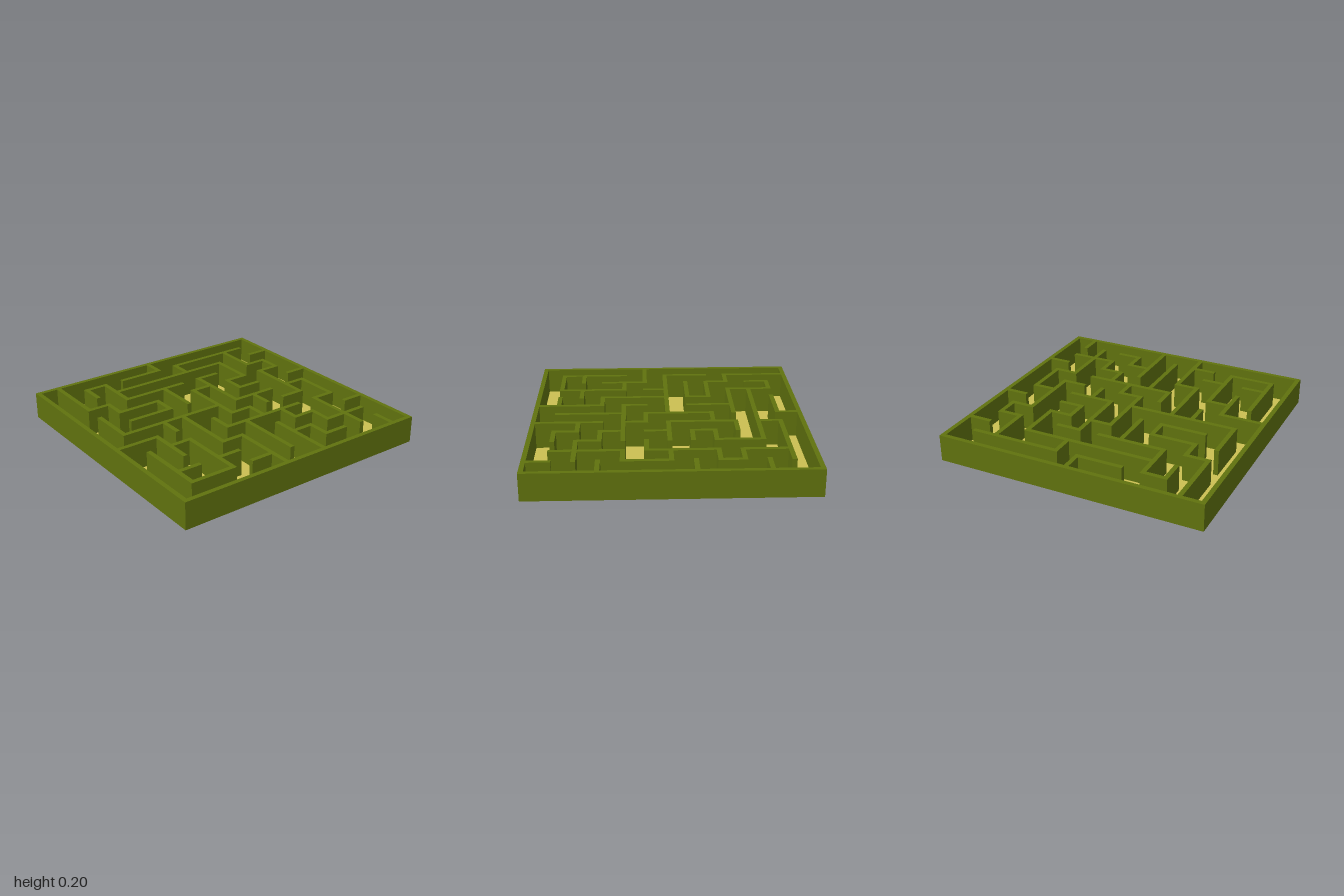
import * as THREE from 'three';

const CELLS = 12, HEIGHT = 0.2, THICK = 0.034;
const PITCH = (2 - THICK) / CELLS;
const at = (i) => (i - CELLS / 2) * PITCH; // grid line to position

// Walls running along x: for each grid row, [from, to] columns
const ROWS = [
  [[0, 12]],
  [[3, 4], [6, 8], [11, 12]],
  [[1, 3], [4, 7], [8, 11]],
  [[2, 4], [9, 10]],
  [[4, 5], [6, 7], [8, 9], [10, 11]],
  [[1, 2], [3, 6], [7, 8], [9, 12]],
  [[0, 1], [4, 7], [8, 11]],
  [[3, 5], [7, 8], [9, 12]],
  [[4, 5], [6, 9]],
  [[1, 3], [6, 7], [8, 11]],
  [[1, 2], [3, 4], [7, 9]],
  [[0, 3], [4, 6], [8, 11]],
  [[0, 12]],
];

// Walls running along z: for each grid column, [from, to] rows
const COLUMNS = [
  [[0, 12]],
  [[1, 5], [6, 8], [9, 10]],
  [[0, 1], [3, 9]],
  [[1, 2], [4, 5], [6, 9], [10, 11]],
  [[1, 2], [3, 4], [5, 6], [8, 10]],
  [[0, 1], [3, 4], [8, 10]],
  [[1, 2], [3, 5], [6, 11]],
  [[2, 3], [5, 6], [10, 12]],
  [[1, 2], [3, 7], [9, 10]],
  [[0, 1], [3, 4], [7, 8]],
  [[1, 3], [4, 5], [8, 9], [10, 11]],
  [[3, 4], [7, 8], [9, 11]],
  [[0, 12]],
];

export function createModel() {
  const model = new THREE.Group();
  model.name = 'maze';
  const wallMaterial = new THREE.MeshStandardMaterial({ color: 0x60720e });
  const floorMaterial = new THREE.MeshStandardMaterial({ color: 0xcbc052 });

  // Thin floor slab, a hair above the wall bottoms
  const floor = new THREE.Mesh(new THREE.BoxGeometry(2 - THICK, 0.008, 2 - THICK), floorMaterial);
  floor.name = 'floor';
  floor.position.y = 0.005;
  model.add(floor);

  const outerWalls = new THREE.Group();
  outerWalls.name = 'outerWalls';
  const innerWalls = new THREE.Group();
  innerWalls.name = 'innerWalls';
  model.add(outerWalls, innerWalls);

  // One straight wall on a grid line, overlapping its end posts
  function addWall(line, from, to, alongX) {
    const length = (to - from) * PITCH + THICK;
    const middle = at((from + to) / 2);
    const wall = new THREE.Mesh(
      new THREE.BoxGeometry(alongX ? length : THICK, HEIGHT, alongX ? THICK : length), wallMaterial);
    wall.position.set(alongX ? middle : at(line), HEIGHT / 2, alongX ? at(line) : middle);
    const outer = line === 0 || line === CELLS;
    wall.name = outer ? 'outerWall' : 'innerWall';
    (outer ? outerWalls : innerWalls).add(wall);
  }
  ROWS.forEach((runs, i) => runs.forEach(([a, b]) => addWall(i, a, b, true)));
  COLUMNS.forEach((runs, i) => runs.forEach(([a, b]) => addWall(i, a, b, false)));

  return model;
}
